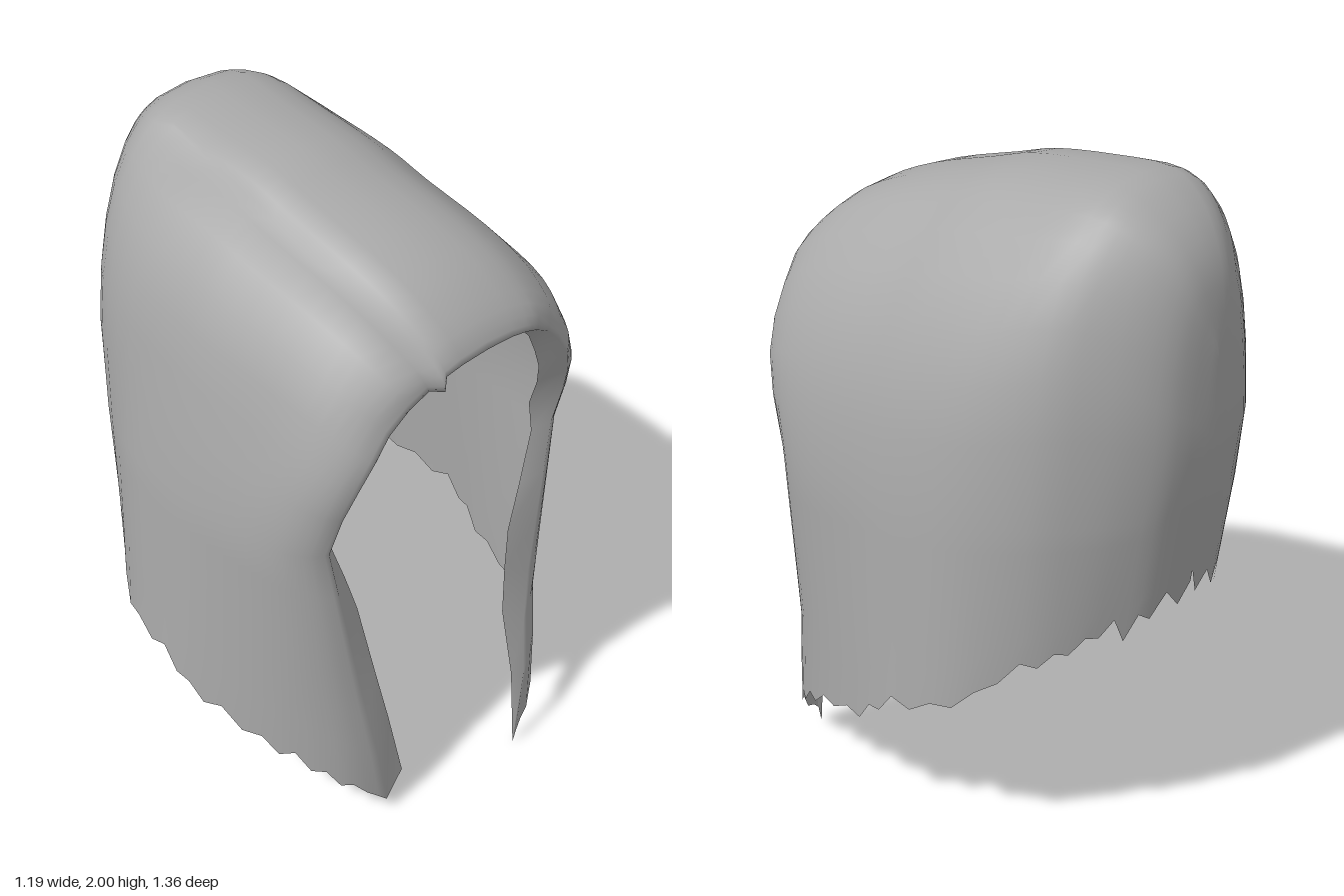
import * as THREE from 'three';
import { mergeVertices } from 'three/addons/utils/BufferGeometryUtils.js';

// piecewise-linear lookup: rows of [key, value, ...]
function lookup(table, key, col = 1) {
  if (key <= table[0][0]) return table[0][col];
  for (let i = 1; i < table.length; i++) {
    const a = table[i - 1], b = table[i];
    if (key <= b[0]) return a[col] + (b[col] - a[col]) * (key - a[0]) / (b[0] - a[0]);
  }
  return table[table.length - 1][col];
}

// arched sections, front to back: z, top, half width, hem, front lean, back lean, flare, arch power
const STATIONS = [
  [0.68, 1.64, 0.44, 0.05, 1, 0, -0.4, 0.88],
  [0.64, 1.71, 0.485, 0.15, 0.9, 0, -0.27, 0.88],
  [0.53, 1.8, 0.53, 0.24, 0.6, 0, -0.17, 0.89],
  [0.37, 1.87, 0.555, 0.31, 0.28, 0, -0.07, 0.91],
  [0.15, 1.93, 0.565, 0.38, 0, 0, 0.03, 0.93],
  [0, 1.97, 0.565, 0.48, 0, 0, 0.09, 0.93],
  [-0.2, 1.99, 0.54, 0.53, 0, 0, 0.07, 0.88],
  [-0.4, 2.0, 0.455, 0.66, 0, 0.4, 0, 0.78],
  [-0.52, 1.95, 0.355, 0.71, 0, 0.7, 0, 0.74],
  [-0.61, 1.86, 0.25, 0.76, 0, 1, 0, 0.75],
  [-0.66, 1.74, 0.15, 0.79, 0, 1, 0, 0.78],
  [-0.68, 1.55, 0, 0.82, 0, 1, 0, 0.8],
];
// depth of the front edge by height: left lock, right lock
const FRONT = [[0, 0.66, 0.59], [0.25, 0.64, 0.59], [0.5, 0.58, 0.57], [1.16, 0.54, 0.54],
  [1.24, 0.585, 0.585], [1.4, 0.635, 0.635], [1.53, 0.645, 0.645], [1.64, 0.68, 0.68]];
// how far the rim curls back behind the front edge, by height
const CURL = [[0.5, 0.01], [1, 0.02], [1.25, 0.045], [1.6, 0.04]];
// face opening, crown to tip: t, x, y
const RIM_LEFT = [[0, 0, 1.59], [0.12, 0.2, 1.57], [0.2, 0.25, 1.52], [0.35, 0.34, 1.33],
  [0.5, 0.385, 1.08], [0.65, 0.28, 0.8], [0.8, 0.25, 0.55], [1, 0.25, 0]];
const RIM_RIGHT = [[0, 0, 1.59], [0.117, -0.14, 1.61], [0.2, -0.26, 1.52], [0.35, -0.32, 1.35],
  [0.5, -0.41, 1.1], [0.65, -0.33, 0.85], [0.8, -0.28, 0.62], [1, -0.17, 0.12]];
// parting by z: groove depth, x
const PARTING = [[-0.36, 0, -0.2], [-0.2, 0.02, -0.21], [0.27, 0.035, -0.24], [0.68, 0.04, -0.148]];
const PARTING_ANGLE = 21;
// the right side is drawn in at cheek height (by y), mostly along the middle (by z)
const RIGHT_DIP = [[1.1, 0], [1.4, 0.06], [1.68, 0]];
const DIP_REACH = [[-0.35, 0], [-0.15, 1], [0.35, 1], [0.6, 0.2]];
const SHOULDER = 1.1;

// smooth sections between the stations
function sections(steps) {
  const out = [], n = STATIONS.length;
  for (let i = 0; i < n - 1; i++) {
    const [p, a, b, q] = [i - 1, i, i + 1, i + 2].map(k => STATIONS[Math.min(n - 1, Math.max(0, k))]);
    for (let k = 0; k < steps; k++) {
      const u = k / steps;
      out.push(a.map((v, c) => v + 0.5 * u * (b[c] - p[c]
        + u * (2 * p[c] - 5 * v + 4 * b[c] - q[c] + u * (3 * (v - b[c]) + q[c] - p[c])))));
    }
  }
  out.push(STATIONS[n - 1]);
  return out;
}

// t runs 0..1 from crown to hem, reaching the shoulder at 0.5
const half = [10, 17, 21, 25, 34, 45, 56, 67, 78, 90].map(a => a / 180)
  .concat([0.58, 0.66, 0.74, 0.82, 0.9, 1]);
const columns = [...half.map(t => -t).reverse(), 0, ...half];

function hairGeometry() {
  let seed = 7;
  const random = () => (seed = (seed * 16807) % 2147483647) / 2147483647;
  const pos = [], index = [], rows = sections(3);

  // inner rim curling in around the face
  for (const t of columns) {
    const rim = t < 0 ? RIM_RIGHT : RIM_LEFT;
    const y = lookup(rim, Math.abs(t), 2);
    pos.push(lookup(rim, Math.abs(t), 1), y, lookup(FRONT, y, t < 0 ? 2 : 1) - lookup(CURL, y));
  }
  // outer shell
  rows.forEach(([z, top, width, hem, lean, back, flare, power], r) => {
    for (const t of columns) {
      const side = Math.sign(t), s = Math.abs(t);
      const angle = Math.min(s, 0.5) * Math.PI;
      const rise = Math.max(0, Math.cos(angle));
      let x = side * width * Math.pow(Math.sin(angle), power);
      let y = SHOULDER + (top - SHOULDER) * Math.pow(rise, power);
      if (side < 0) x *= 1 - lookup(RIGHT_DIP, y) * lookup(DIP_REACH, z);
      // crown sits slightly to the right
      x -= 0.04 * rise * (1 - lean) * (1 - back);
      if (s >= 0.5) {
        y = SHOULDER + (hem - SHOULDER) * (s - 0.5) * 2;
        // the right lock and right back corner taper in a little more
        const taper = side < 0 ? 0.03 * lean + 0.08 * back : 0;
        x *= 1 + (flare - taper) * (SHOULDER - y);
        // ragged hem
        if (s === 1 && r > 1) y += (r % 2 ? 1 : -0.6) * random() * (z < -0.55 ? 0.1 : 0.035);
      }
      const depth = z + lean * (lookup(FRONT, y, side < 0 ? 2 : 1) - 0.68)
        + back * 0.15 * Math.max(0, 1.28 - y);
      // parting groove on the right of the crown
      if (side < 0 && z > -0.37 && Math.abs(s * 180 - PARTING_ANGLE) < 0.1) {
        y -= lookup(PARTING, z, 1);
        x = lookup(PARTING, z, 2);
      }
      pos.push(x, y, depth);
    }
  });

  const n = columns.length;
  for (let i = 0; i < rows.length; i++) {
    for (let j = 0; j < n - 1; j++) {
      const a = i * n + j;
      index.push(a, a + 1, a + n, a + 1, a + n + 1, a + n);
    }
  }
  const g = new THREE.BufferGeometry();
  g.setAttribute('position', new THREE.Float32BufferAttribute(pos, 3));
  g.setIndex(index);
  const merged = mergeVertices(g, 1e-4);
  merged.computeVertexNormals();
  return merged;
}

export function createModel() {
  const group = new THREE.Group();
  group.name = 'hair';
  const grey = new THREE.MeshStandardMaterial({ color: 0xa9a9a9, side: THREE.DoubleSide });
  grey.name = 'hair grey';
  const shell = new THREE.Mesh(hairGeometry(), grey);
  shell.name = 'hairShell';
  group.add(shell);
  return group;
}
